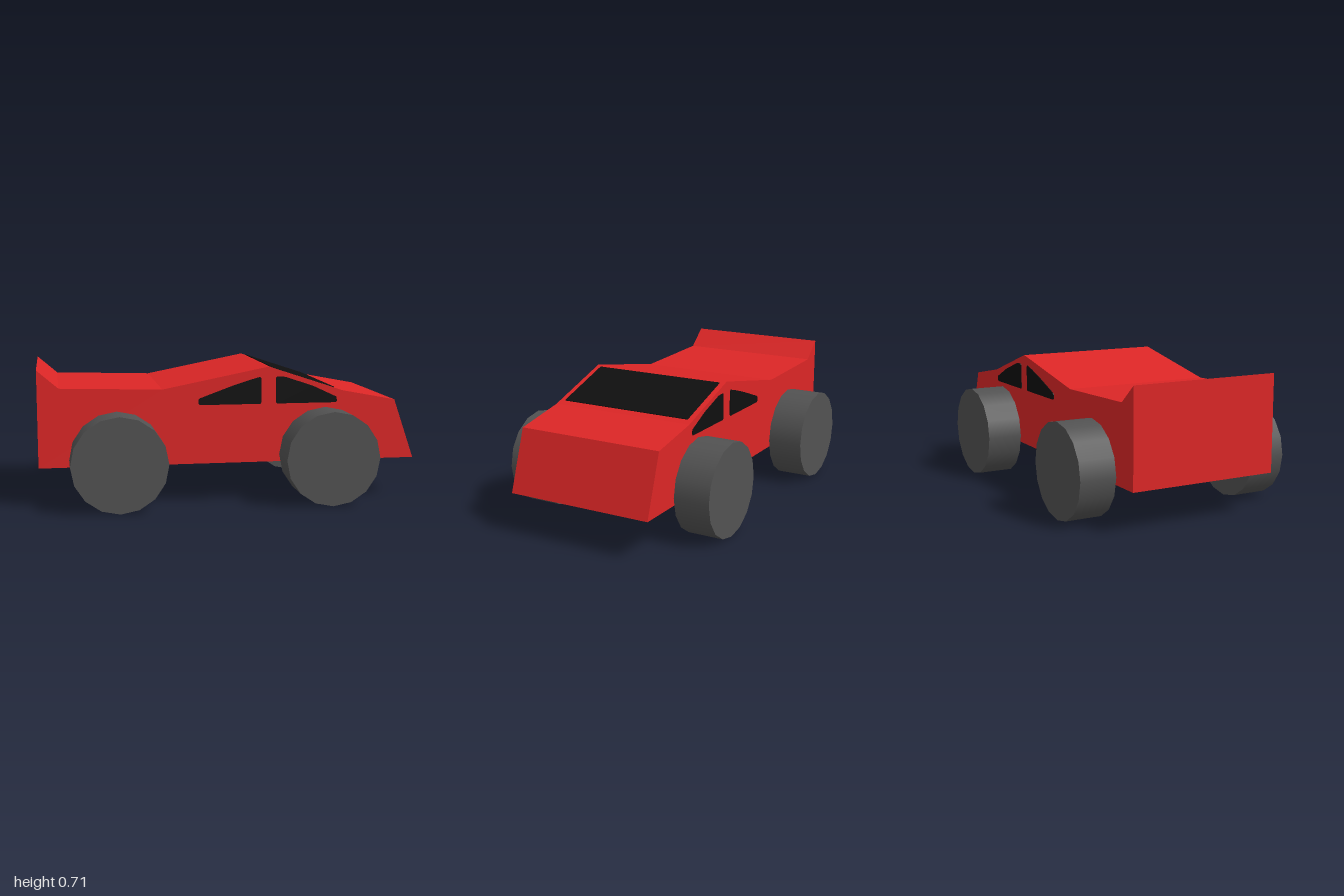
import * as THREE from 'three';

const paint = new THREE.MeshStandardMaterial({ name: 'red paint', color: 0xdc2626 });
const tyre = new THREE.MeshStandardMaterial({ name: 'grey tyre', color: 0x525252 });
const glass = new THREE.MeshStandardMaterial({ name: 'black glass', color: 0x0f0f0f });

const HALF_WIDTH = 0.4;
const PLATE = 0.004;

// Prism from an outline in the xy plane, centred on z = 0
function prism(points, depth) {
  const shape = new THREE.Shape(points.map(([x, y]) => new THREE.Vector2(x, y)));
  const geometry = new THREE.ExtrudeGeometry(shape, { depth, bevelEnabled: false });
  return geometry.translate(0, 0, -depth / 2);
}

export function createModel() {
  const car = new THREE.Group();
  car.name = 'car';

  function add(name, geometry, material, x = 0, y = 0, z = 0) {
    const mesh = new THREE.Mesh(geometry, material);
    mesh.name = name;
    mesh.position.set(x, y, z);
    car.add(mesh);
    return mesh;
  }

  // Wedge body with the nose at +x and a raised tail
  const roof = [0.2, 0.715], cowl = [0.6, 0.583];
  add('body', prism([
    [-1, 0.21], [1, 0.21], [0.89, 0.528], cowl, roof,
    [-0.36, 0.605], [-0.89, 0.62], [-1, 0.715],
  ], HALF_WIDTH * 2), paint);

  // Side windows with clipped corners
  const rearWindow = prism([
    [-0.165, 0.52], [0.155, 0.52], [0.162, 0.527], [0.162, 0.655], [0.155, 0.662],
    [0.1, 0.647], [0, 0.615], [-0.165, 0.555], [-0.172, 0.547], [-0.172, 0.527],
  ], PLATE);
  const frontWindow = prism([
    [0.247, 0.52], [0.565, 0.52], [0.571, 0.527], [0.568, 0.55], [0.44, 0.61],
    [0.29, 0.66], [0.247, 0.662], [0.24, 0.655], [0.24, 0.527],
  ], PLATE);

  // 16-sided wheels standing outside the body
  const wheel = new THREE.CylinderGeometry(0.248, 0.248, 0.193, 16).rotateX(Math.PI / 2);

  for (const [side, s] of [['left', 1], ['right', -1]]) {
    add(side + 'RearWindow', rearWindow, glass, 0, 0, s * (HALF_WIDTH + PLATE / 2));
    add(side + 'FrontWindow', frontWindow, glass, 0, 0, s * (HALF_WIDTH + PLATE / 2));
    add(side + 'RearWheel', wheel, tyre, -0.596, 0.248, s * 0.498);
    add(side + 'FrontWheel', wheel, tyre, 0.508, 0.248, s * 0.498);
  }

  // Windscreen plate lying on the slope between roof and cowl
  const slope = Math.atan2(cowl[1] - roof[1], cowl[0] - roof[0]);
  const middle = 0.392;
  const height = roof[1] + (middle - roof[0]) * Math.tan(slope);
  const screen = new THREE.BoxGeometry(0.34 / Math.cos(slope), PLATE, 0.74);
  screen.translate(0, PLATE / 2, 0);
  add('windscreen', screen, glass, middle, height, 0).rotation.z = slope;

  return car;
}
